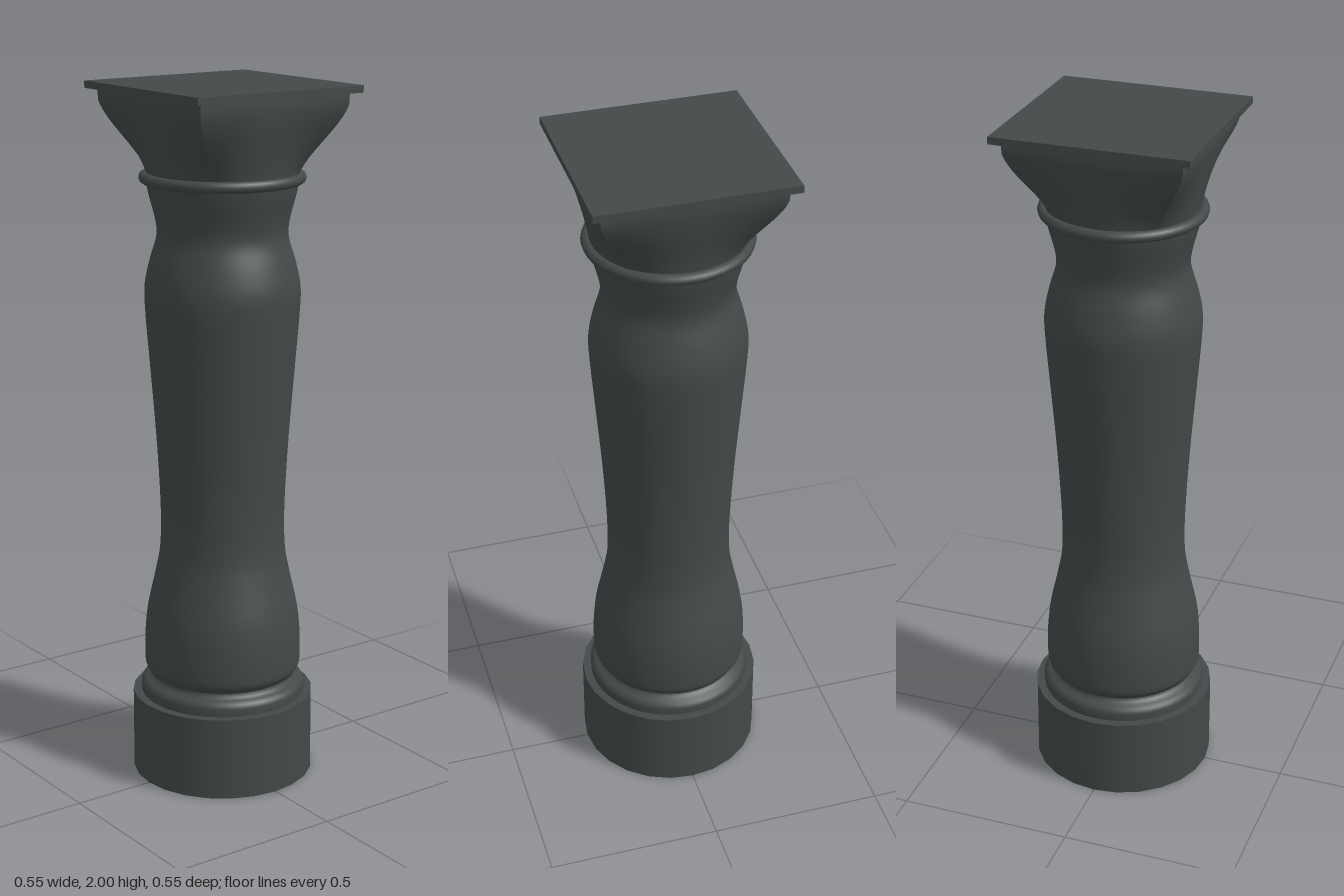
import * as THREE from 'three';

const stone = new THREE.MeshStandardMaterial({ color: 0x434948, side: THREE.DoubleSide });
stone.name = 'dark stone';

function part(name, geometry, parent) {
  const mesh = new THREE.Mesh(geometry, stone);
  mesh.name = name;
  parent.add(mesh);
  return mesh;
}

// Turned surface from [radius, height] pairs, listed bottom to top
function turned(points, sides = 48) {
  return new THREE.LatheGeometry(points.map(([r, y]) => new THREE.Vector2(r, y)), sides);
}

// One flared side of the capital: circular arc at the bottom, straight edge at the top
function capitalSide() {
  const bottom = 1.75, top = 1.98, radius = 0.21, half = 0.246;
  const geo = new THREE.PlaneGeometry(1, 1, 12, 14);
  const pos = geo.attributes.position;
  for (let i = 0; i < pos.count; i++) {
    const a = pos.getX(i) * Math.PI / 2;
    const y = bottom + (pos.getY(i) + 0.5) * (top - bottom);
    const k = Math.min(1, (y - bottom) / 0.2);
    const t = 0.5 * k + 0.5 * k * k * (3 - 2 * k);
    pos.setXYZ(i,
      THREE.MathUtils.lerp(radius * Math.sin(a), half * Math.tan(a), t),
      y,
      THREE.MathUtils.lerp(radius * Math.cos(a), half, t));
  }
  geo.computeVertexNormals();
  return geo;
}

export function createModel() {
  const column = new THREE.Group();
  column.name = 'column';

  // Hollow drum at the foot, with a flat ledge on top
  part('baseDrum', turned([[0.262, 0], [0.262, 0.24]], 24), column);
  part('baseLedge', turned([[0.262, 0.24], [0.2, 0.24]], 24), column);

  // Rounded moulding between drum and shaft
  part('baseMoulding', turned([
    [0.237, 0.24], [0.238, 0.262], [0.233, 0.274], [0.222, 0.282], [0.207, 0.286], [0.205, 0.298],
  ]), column);

  // Swelling shaft, smoothed through a few radii
  const outline = new THREE.SplineCurve([
    [0.222, 0.318], [0.226, 0.34], [0.225, 0.42], [0.216, 0.5], [0.194, 0.6], [0.18, 0.68],
    [0.178, 0.8], [0.188, 1.0], [0.205, 1.22], [0.216, 1.36], [0.218, 1.44],
    [0.204, 1.51], [0.184, 1.58], [0.187, 1.63], [0.205, 1.7], [0.214, 1.75],
  ].map(([r, y]) => new THREE.Vector2(r, y)));
  part('shaft', new THREE.LatheGeometry(outline.getPoints(64), 48), column);
  part('shaftFoot', turned([[0.205, 0.298], [0.214, 0.304], [0.222, 0.318]]), column);

  // Ring under the capital
  const ring = part('neckRing', new THREE.TorusGeometry(0.216, 0.016, 10, 48), column);
  ring.rotation.x = Math.PI / 2;
  ring.position.y = 1.745;

  // Round-to-square capital
  const capital = new THREE.Group();
  capital.name = 'capital';
  column.add(capital);
  const side = capitalSide();
  for (let i = 0; i < 4; i++) part('capitalSide', side, capital).rotation.y = i * Math.PI / 2;

  // Square slab on top
  part('topSlab', new THREE.BoxGeometry(0.545, 0.02, 0.545), column).position.y = 1.99;

  return column;
}
